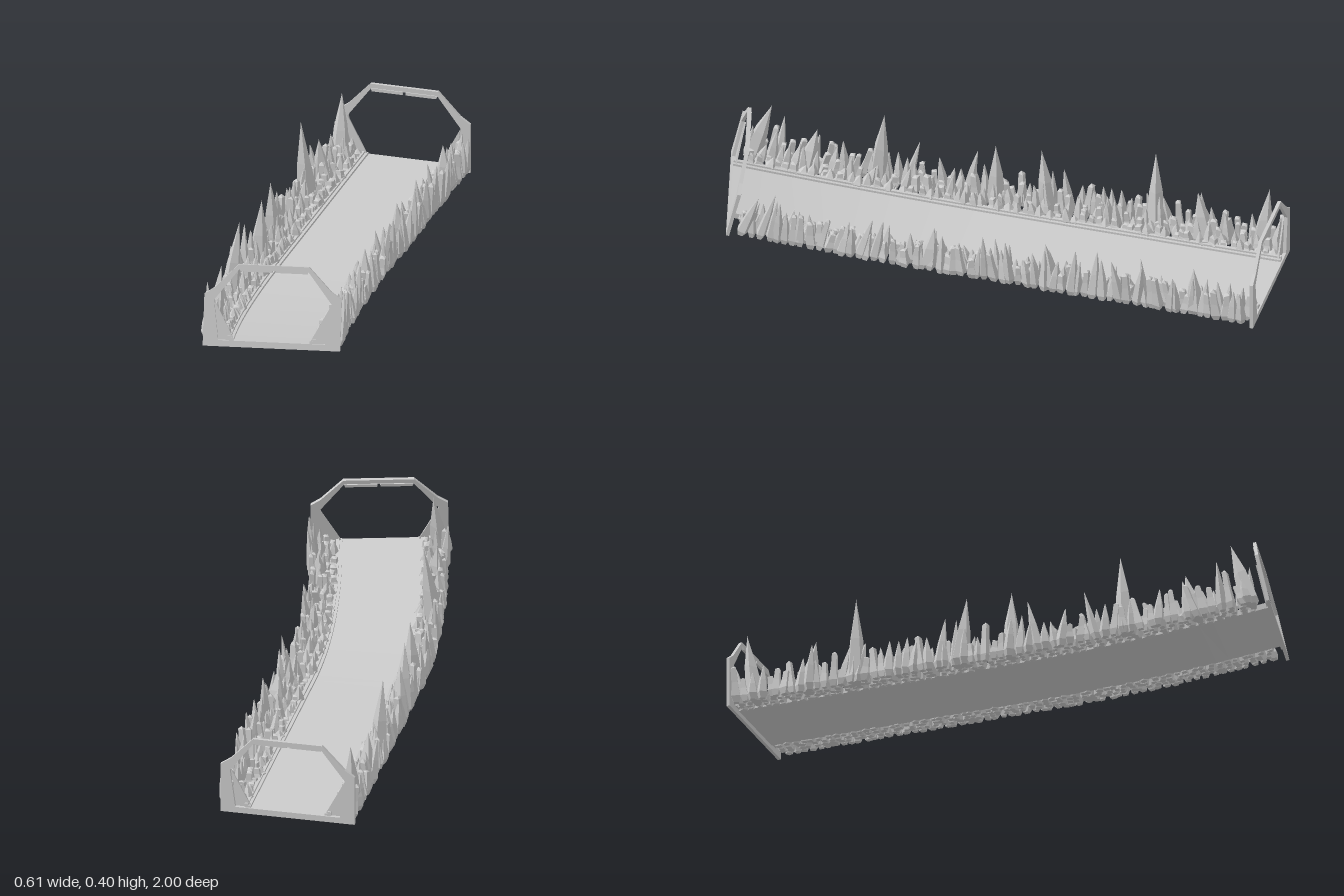
import * as THREE from 'three';
import { mergeGeometries } from 'three/addons/utils/BufferGeometryUtils.js';

const END = 0.94, HALF = 0.2415;
const material = new THREE.MeshStandardMaterial({ color: 0xcccccc, flatShading: true, side: THREE.DoubleSide });

// Small seeded random generator
function seeded(seed) {
  return () => {
    seed = (seed * 1664525 + 1013904223) % 4294967296;
    return seed / 4294967296;
  };
}

// Frame of reference on the road: straight at the back, bending left and up at the front
function roadMatrix(z) {
  const u = Math.max(0, z) / END;
  const forward = new THREE.Vector3(0.23 * u / END, 0.22 * u / END, 1).normalize();
  const right = new THREE.Vector3(0, 1, 0).cross(forward).normalize();
  const up = forward.clone().cross(right);
  return new THREE.Matrix4().makeBasis(right, up, forward)
    .setPosition(-0.053 + 0.115 * u * u, 0.022 + 0.11 * u * u, z)
    .multiply(new THREE.Matrix4().makeRotationZ(-0.02 * u));
}

// Box-section strip swept along the road
function strip(name, x0, x1, y0, y1) {
  const steps = 40;
  const geometry = new THREE.BoxGeometry(x1 - x0, y1 - y0, 1, 1, 1, steps);
  geometry.translate((x0 + x1) / 2, (y0 + y1) / 2, 0.5);
  const p = geometry.attributes.position, v = new THREE.Vector3();
  for (let i = 0; i < p.count; i++) {
    v.fromBufferAttribute(p, i);
    const z = THREE.MathUtils.lerp(-0.995, END - 0.005, v.z);
    v.z = 0;
    v.applyMatrix4(roadMatrix(z));
    p.setXYZ(i, v.x, v.y, v.z);
  }
  geometry.computeVertexNormals();
  const mesh = new THREE.Mesh(geometry, material);
  mesh.name = name;
  return mesh;
}

function polygon(points) {
  return new THREE.Shape(points.map(([x, y]) => new THREE.Vector2(x, y)));
}

// Mirror half an outline (listed bottom to top) into a closed one
function symmetric(half) {
  return [...half, ...half.slice().reverse().map(([x, y]) => [-x, y])];
}

// Six-sided gate with floor sill, corner gussets and a lip under the top bar
function gate(name, z, inward) {
  const group = new THREE.Group();
  group.name = name;
  const add = (part, shape, depth, offset) => {
    const geometry = new THREE.ExtrudeGeometry(shape, { depth, bevelEnabled: false });
    geometry.translate(0, -0.022, inward > 0 ? offset : -offset - depth);
    const mesh = new THREE.Mesh(geometry, material);
    mesh.name = part;
    group.add(mesh);
  };
  const outline = polygon(symmetric([[HALF, 0], [HALF, 0.185], [0.205, 0.21], [0.124, 0.295]]));
  outline.holes.push(polygon(symmetric([[0.188, 0.022], [0.207, 0.165], [0.122, 0.277]])));
  add('gateFrame', outline, 0.012, 0);
  for (const s of [-1, 1]) {
    add('gusset', polygon([[s * 0.188, 0.02], [s * 0.207, 0.165], [s * 0.132, 0.022]]), 0.006, 0.012);
    add('lip', polygon([[s * 0.005, 0.268], [s * 0.118, 0.268], [s * 0.122, 0.279], [s * 0.005, 0.279]]), 0.006, 0.01);
  }
  group.applyMatrix4(roadMatrix(z));
  return group;
}

// One faceted rock: a blunt foot, a wide waist and a narrow or flat top
function rock(x, z, radius, height, top, sides, random) {
  const profile = [[0, -0.012], [0.6, -0.01], [1, 0.012], [0.7, height * 0.5], [top, height * 0.92], [0, height]]
    .map(([r, y]) => new THREE.Vector2(r * radius, y));
  const geometry = new THREE.LatheGeometry(profile, sides, Math.PI / 4 + (random() - 0.5) * 0.6);
  const leanX = (random() - 0.5) * 0.25, leanZ = (random() - 0.5) * 0.35, tilt = (random() - 0.5) * 0.7;
  const p = geometry.attributes.position;
  for (let i = 0; i < p.count; i++) {
    const y = p.getY(i);
    const lift = y > 0.02 ? p.getZ(i) * tilt : 0;
    p.setXYZ(i, p.getX(i) + y * leanX, y + lift, p.getZ(i) + y * leanZ);
  }
  geometry.translate(x, 0, 0);
  geometry.applyMatrix4(roadMatrix(z));
  geometry.computeVertexNormals();
  return geometry;
}

// Bank of rocks on one side, growing taller outward, with a few great spikes
function rockBank(name, side, seed, spikes) {
  const random = seeded(seed), rocks = [];
  const rows = 62, columns = 4;
  for (let i = 0; i < rows; i++) {
    for (let c = 0; c < columns; c++) {
      const z = -0.975 + 1.87 * (i + 0.2 + 0.6 * random()) / rows;
      const x = side * (0.158 + 0.0225 * c + 0.008 * random());
      const sharp = random() < 0.5;
      let height = (0.035 + 0.022 * c) * (0.6 + 0.8 * random());
      if (sharp) height *= 1.35;
      rocks.push(rock(x, z, 0.017 + 0.007 * random(), height, sharp ? 0.15 : 0.6, sharp ? 5 : 4, random));
    }
  }
  for (const [z, x, height] of spikes) {
    rocks.push(rock(side * x, z, 0.036, height, 0.1, 5, random));
  }
  const mesh = new THREE.Mesh(mergeGeometries(rocks), material);
  mesh.name = name;
  return mesh;
}

export function createModel() {
  const model = new THREE.Group();
  model.name = 'trackSection';

  // Road surface and its low double kerbs
  model.add(strip('road', -0.15, 0.15, -0.006, 0));
  for (const s of [-1, 1]) {
    const side = s > 0 ? 'left' : 'right';
    model.add(strip(side + 'InnerKerb', s * 0.138 - 0.005, s * 0.138 + 0.005, -0.004, 0.008));
    model.add(strip(side + 'OuterKerb', s * 0.149 - 0.006, s * 0.149 + 0.006, -0.006, 0.015));
  }

  // Gates at both ends
  model.add(gate('frontGate', END, -1));
  model.add(gate('backGate', -1, 1));

  // Rocky banks: position along the road, distance from its centre, height
  model.add(rockBank('rightRocks', -1, 11, [
    [0.88, 0.212, 0.25], [0.7, 0.205, 0.17], [0.46, 0.215, 0.31], [0.06, 0.21, 0.25],
    [-0.13, 0.215, 0.25], [-0.52, 0.215, 0.31], [-0.7, 0.21, 0.18], [-0.9, 0.21, 0.25],
  ]));
  model.add(rockBank('leftRocks', 1, 29, [
    [0.7, 0.215, 0.12], [0.2, 0.21, 0.16], [-0.25, 0.215, 0.17], [-0.78, 0.215, 0.17],
  ]));
  return model;
}
